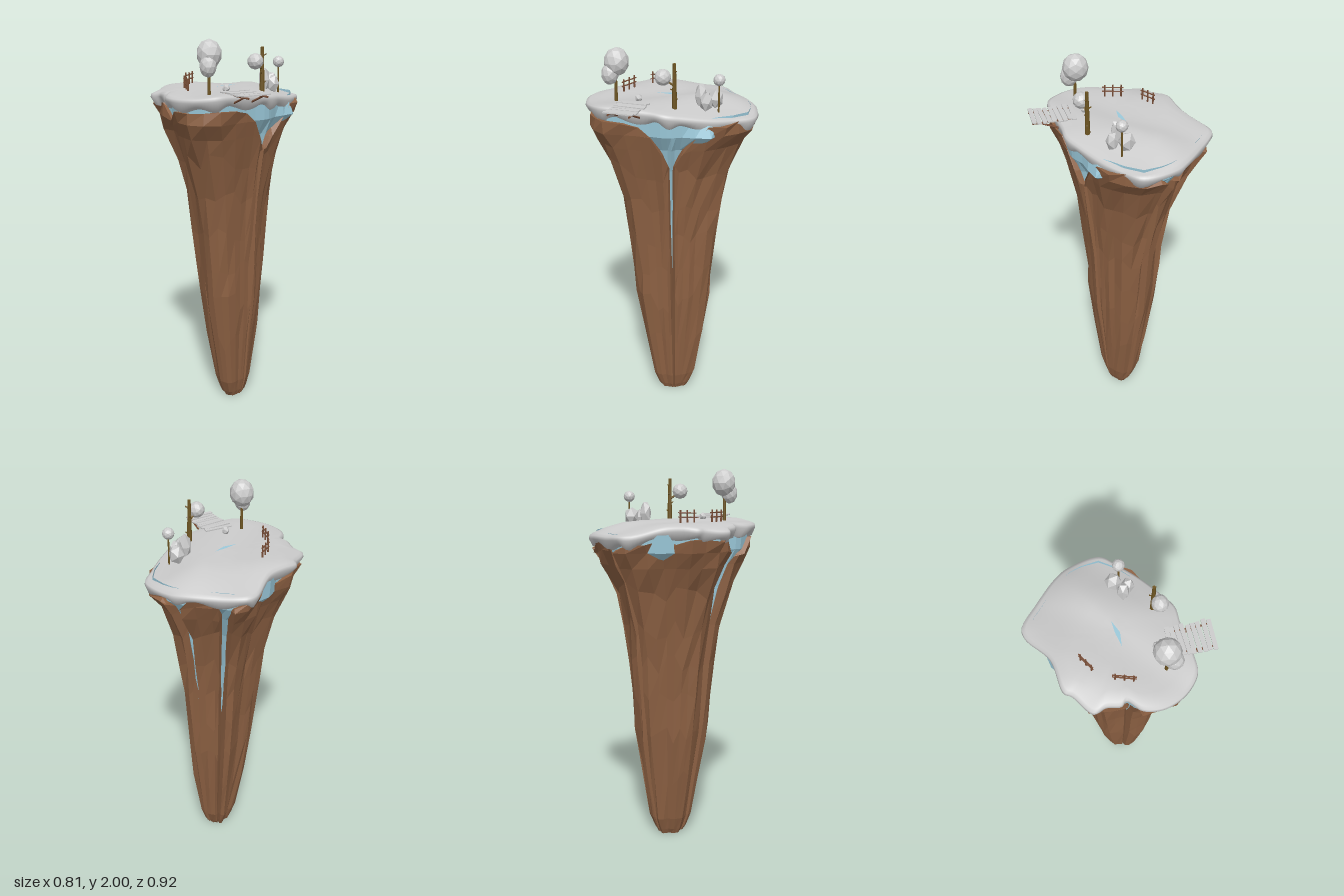
import * as THREE from 'three';

const mat = (color, flatShading = true) =>
  new THREE.MeshStandardMaterial({ color, flatShading, side: THREE.DoubleSide });
const GREY = mat(0xcccccc), GRASS = mat(0xcccccc, false), ROCK = mat(0x8d6143);
const WATER = mat(0x9ccadb), BARK = mat(0x6e5522), TIMBER = mat(0x7a4f38);

const V = (x, y, z) => new THREE.Vector3(x, y, z);
const { lerp, smoothstep, clamp } = THREE.MathUtils;
const noise = (i, j) => { const s = Math.sin(i * 12.99 + j * 78.23) * 43758.5; return (s - Math.floor(s)) * 2 - 1; };
const deg = Math.PI / 180;
const angleGap = (a, b) => Math.abs(((a - b + 540) % 360 + 360) % 360 - 180);

// plan of the plateau rim as x, z pairs
const rim = new THREE.CatmullRomCurve3([
  [0.365, -0.06], [0.315, 0.04], [0.225, 0.17], [0.17, 0.235], [0.09, 0.27], [-0.06, 0.35],
  [-0.15, 0.38], [-0.26, 0.34], [-0.34, 0.25], [-0.36, 0.16], [-0.33, 0.08], [-0.355, 0.06],
  [-0.37, -0.01], [-0.405, -0.06], [-0.34, -0.17], [-0.33, -0.21], [-0.18, -0.3], [-0.08, -0.44],
  [-0.03, -0.465], [0.11, -0.42], [0.25, -0.36], [0.32, -0.31], [0.405, -0.165],
].map(([x, z]) => V(x, 0, z)), true, 'centripetal').getPoints(180).slice(0, 180);
const rimPolar = rim.map(p => [(Math.atan2(p.z, p.x) / deg + 360) % 360, Math.hypot(p.x, p.z)]);
const rimRadius = a => rimPolar.reduce((best, p) => angleGap(p[0], a) < angleGap(best[0], a) ? p : best)[1];

// piecewise linear lookup in [key, value] pairs
function table(rows, k) {
  let i = 1;
  while (i < rows.length - 1 && k > rows[i][0]) i++;
  const [a, b] = [rows[i - 1], rows[i]];
  return lerp(a[1], b[1], clamp((k - a[0]) / (b[0] - a[0]), 0, 1));
}
const TAPER = [[0, 0.16], [0.03, 0.2], [0.1, 0.26], [0.35, 0.36], [0.6, 0.45], [0.8, 0.48], [1, 0.52],
  [1.2, 0.59], [1.4, 0.7], [1.52, 0.84], [1.6, 0.94], [1.7, 0.96]];

// clefts: angle, lowest height of water, drop of the rock rim, width of that drop
const CLEFTS = [[48, 0.62, 0.24, 34], [-45, 0.72, 0.1, 14], [-82, 0.75, 0.06, 16], [160, 1.0, 0.1, 16]];
const ANGLES = [];
for (let a = 0; a < 360; a += 12) if (CLEFTS.every(c => angleGap(a, c[0]) > 8)) ANGLES.push(a);
for (const [a] of CLEFTS) ANGLES.push(...[-5, 0, 5].map(d => (a + d + 360) % 360));
ANGLES.sort((a, b) => a - b);

// joins closed rings of points, listed from bottom to top
function loft(rings, material, name) {
  const n = rings[0].length, index = [];
  for (let i = 0; i < rings.length - 1; i++) for (let j = 0; j < n; j++) {
    const a = i * n + j, b = i * n + (j + 1) % n;
    index.push(a, a + n, b, b, a + n, b + n);
  }
  const geo = new THREE.BufferGeometry().setFromPoints(rings.flat());
  geo.setIndex(index);
  geo.computeVertexNormals();
  return named(new THREE.Mesh(geo, material), name);
}
function named(object, name) { object.name = name; return object; }
const polar = (a, r, y) => V(Math.cos(a * deg) * r + 0.025 * (1 - Math.min(y / 1.4, 1)), y, Math.sin(a * deg) * r);

const groundY = (x, z) => 1.737 - 0.06 * smoothstep(x, 0.1, 0.4) - 0.055 * smoothstep(-z, 0.2, 0.46)
  - 0.02 * smoothstep(-x, 0.26, 0.4) + 0.006 * Math.sin(x * 17 + z * 9);

// tapered round bar between two points
function bar(from, to, r0, r1, material, name, sides = 6) {
  const d = to.clone().sub(from);
  const m = new THREE.Mesh(new THREE.CylinderGeometry(r1, r0, d.length(), sides), material);
  m.position.copy(from).addScaledVector(d, 0.5);
  m.quaternion.setFromUnitVectors(V(0, 1, 0), d.normalize());
  return named(m, name);
}
function blob(x, y, z, rx, ry, rz, detail, name) {
  const m = new THREE.Mesh(new THREE.IcosahedronGeometry(1, detail), GREY);
  m.position.set(x, y, z);
  m.scale.set(rx, ry, rz);
  m.rotation.y = x * 9;
  return named(m, name);
}

function rockBody() {
  const top = a => 1.655 + 0.015 * noise(a, 3)
    - CLEFTS.reduce((s, c) => s + c[2] * Math.max(0, 1 - angleGap(a, c[0]) / c[3]), 0);
  const radius = (a, y, k) => {
    const cleft = CLEFTS.some(c => angleGap(a, c[0]) < 1);
    const bulge = 1 + 0.14 * smoothstep(y, 1.4, 1.58) * Math.max(0, 1 - angleGap(a, 2) / 20);
    return rimRadius(a) * table(TAPER, y) * bulge * (cleft ? 0.8 : 1 + 0.045 * noise(a, k));
  };
  const levels = [0, 0.03, 0.1, 0.35, 0.6, 0.8, 1, 1.2, 1.4, 1.52, 1.6, 1.7];
  const rings = levels.map((level, k) => ANGLES.map(a => {
    const shift = k > 2 && k < 9 ? 0.06 * noise(a, k + 20) : 0;
    const y = Math.min(level + shift, top(a));
    return polar(a, radius(a, y, k), y);
  }));
  const ledge = ANGLES.map(a => polar(a, rimRadius(a) * table(TAPER, top(a)) * 0.78, top(a) - 0.005));
  rings.unshift(ANGLES.map(a => polar(a, 0, 0)));
  return loft([...rings, ledge], ROCK, 'rockBody');
}

// water core, seen in the clefts and as a band below the turf
function waterCore() {
  const levels = [0.6, 0.8, 1, 1.2, 1.4, 1.52, 1.6, 1.69];
  return loft(levels.map(y => ANGLES.map(a => {
    const c = CLEFTS.find(q => angleGap(a, q[0]) < 1);
    let k = c ? lerp(0.78, 0.93, smoothstep(y, c[1], 1.3)) : 0.86;
    if (y > 1.55) k = 0.95;
    const spurs = 1 + smoothstep(y, 1.5, 1.6) * (0.22 * Math.max(0, 1 - angleGap(a, 14) / 18) * (y < 1.65 ? 1 : 0.2)
      + 0.12 * Math.max(0, 1 - angleGap(a, 240) / 14));
    return polar(a, rimRadius(a) * table(TAPER, y) * k * spurs, y);
  })), WATER, 'waterCore');
}

// turf: underside, rounded lip, then the gently rolling top
function turf() {
  const rings = [[0.86, -0.075], [0.96, -0.055], [1, -0.022], [0.99, -0.006], [0.95, 0], [0.8, 0],
    [0.6, 0], [0.4, 0], [0.2, 0], [0, 0]];
  return loft(rings.map(([s, dy], k) => rim.map((p, j) => {
    const x = p.x * s, z = p.z * s;
    return V(x, groundY(x, z) + dy + (k < 2 ? 0.012 * Math.sin(j * 0.5) : 0), z);
  })), GRASS, 'turf');
}

function pond() {
  const shape = new THREE.Shape([[-0.08, 0.02], [-0.02, -0.02], [0.04, -0.05], [-0.01, 0.0]].map(p => new THREE.Vector2(p[0], -p[1])));
  const m = new THREE.Mesh(new THREE.ShapeGeometry(shape).rotateX(-Math.PI / 2), WATER);
  m.position.y = 1.745;
  return named(m, 'waterSliver');
}

function trees() {
  const g = named(new THREE.Group(), 'trees');
  g.add(
    bar(V(-0.152, 1.72, 0.235), V(-0.152, 1.9, 0.235), 0.009, 0.006, BARK, 'bigTreeTrunk'),
    blob(-0.15, 1.93, 0.23, 0.066, 0.072, 0.062, 1, 'bigTreeCrown'),
    blob(-0.162, 1.875, 0.265, 0.045, 0.055, 0.042, 1, 'bigTreeLowerCrown'),
    bar(V(0.14, 1.71, 0.13), V(0.138, 1.95, 0.13), 0.014, 0.008, BARK, 'bareTrunk', 7),
    bar(V(0.139, 1.84, 0.13), V(0.1, 1.875, 0.16), 0.006, 0.004, BARK, 'branch'),
    blob(0.095, 1.883, 0.165, 0.041, 0.041, 0.041, 1, 'branchCrown'),
    bar(V(0.27, 1.69, -0.05), V(0.27, 1.85, -0.05), 0.005, 0.004, BARK, 'smallTreeTrunk'),
    blob(0.27, 1.857, -0.05, 0.03, 0.03, 0.03, 1, 'smallTreeCrown'));
  for (let i = 0; i < 4; i++) {
    const y = 1.77 + i * 0.045, a = i * 2.2;
    g.add(bar(V(0.139, y, 0.13), V(0.139 + Math.cos(a) * 0.02, y + 0.012, 0.13 + Math.sin(a) * 0.02), 0.004, 0.003, BARK, 'stub', 5));
  }
  return g;
}

function boulders() {
  const g = named(new THREE.Group(), 'boulders');
  g.add(blob(0.185, 1.77, -0.015, 0.032, 0.07, 0.032, 0, 'tallBoulder'),
    blob(0.235, 1.755, -0.07, 0.042, 0.052, 0.04, 0, 'backBoulder'),
    blob(0.23, 1.75, 0.0, 0.032, 0.05, 0.034, 0, 'frontBoulder'),
    blob(-0.055, 1.755, 0.175, 0.02, 0.022, 0.02, 0, 'smallBoulder'));
  return g;
}

function fence(x0, z0, x1, z1) {
  const g = named(new THREE.Group(), 'fence');
  const at = (t, h) => V(lerp(x0, x1, t), groundY(lerp(x0, x1, t), lerp(z0, z1, t)) + h, lerp(z0, z1, t));
  for (const t of [0.12, 0.5, 0.88]) g.add(bar(at(t, -0.02), at(t, 0.062), 0.005, 0.004, TIMBER, 'fencePost', 5));
  for (const h of [0.024, 0.046]) g.add(bar(at(0, h), at(1, h + 0.004), 0.0035, 0.0035, TIMBER, 'fenceRail', 5));
  return g;
}

// plank jetty running out over the front edge, on braced beams
function jetty() {
  const g = named(new THREE.Group(), 'jetty');
  for (let i = 0; i < 9; i++) {
    const plank = new THREE.Mesh(new THREE.BoxGeometry(0.155 + 0.01 * noise(i, 1), 0.006, 0.021), GREY);
    plank.position.set(0.005 * noise(i, 2), 0.004 + 0.003 * noise(i, 4), -0.1 + i * 0.025);
    plank.rotation.set(0.05 * noise(i, 5), 0.05 * noise(i, 6), 0.02 * noise(i, 7));
    g.add(named(plank, 'plank'));
  }
  for (const x of [-0.055, 0.055]) g.add(
    bar(V(x, -0.004, -0.1), V(x, -0.004, 0.11), 0.005, 0.005, TIMBER, 'beam', 5),
    bar(V(x, -0.06, -0.06), V(x, -0.005, 0.07), 0.005, 0.005, TIMBER, 'brace', 5));
  g.position.set(0.007, 1.745, 0.325);
  g.rotation.y = 0.38;
  return g;
}

export function createModel() {
  const model = named(new THREE.Group(), 'rockIsland');
  model.add(rockBody(), waterCore(), turf(), pond(), trees(), boulders(), jetty(),
    fence(-0.24, 0.0, -0.233, 0.11), fence(-0.22, -0.09, -0.165, -0.165));
  return model;
}
